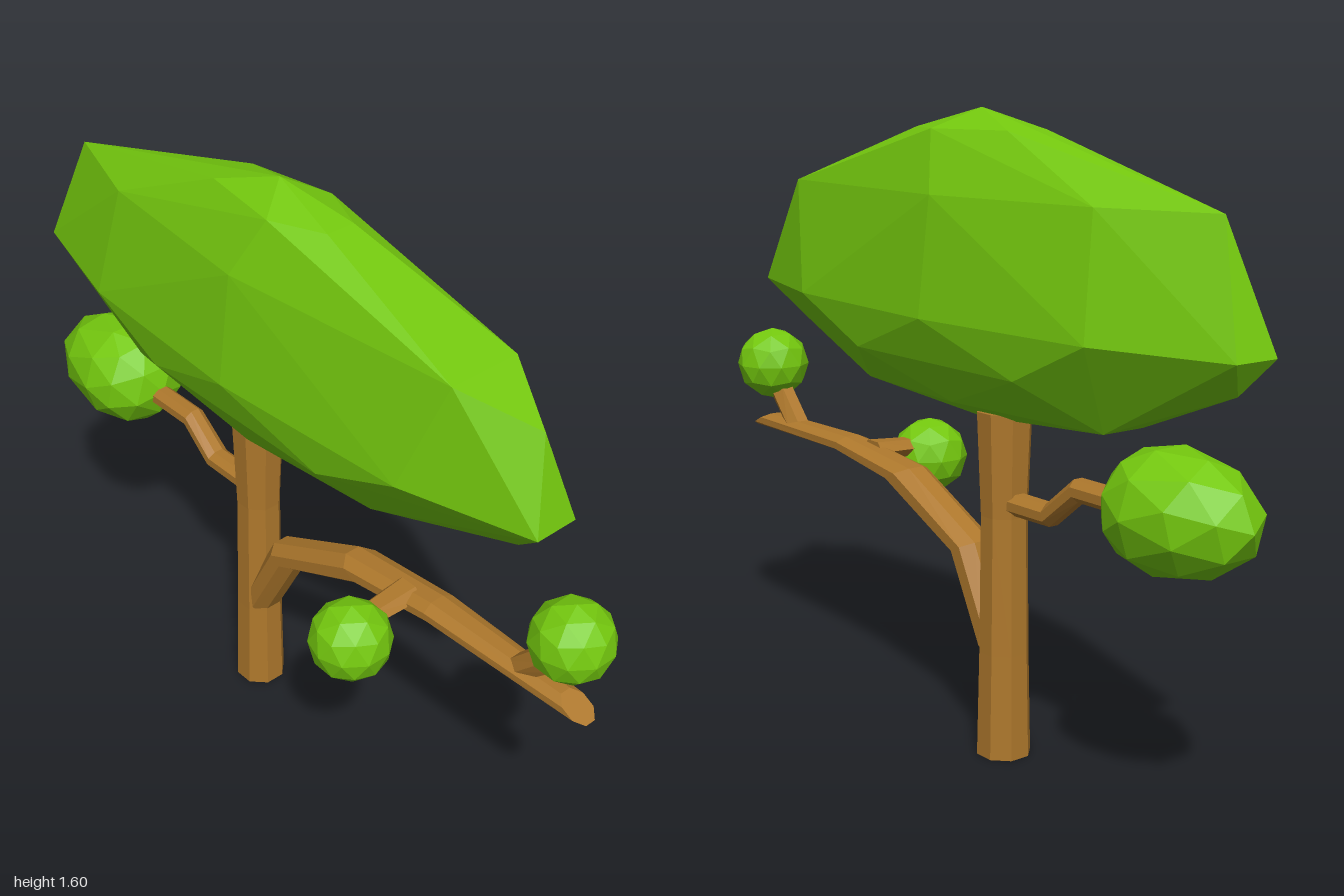
import * as THREE from 'three';
import { ConvexGeometry } from 'three/addons/geometries/ConvexGeometry.js';

const Z = -0.057; // depth plane the tree grows in
const leaf = new THREE.MeshStandardMaterial({ color: 0x74c80e, flatShading: true });
const bark = new THREE.MeshStandardMaterial({ color: 0xae782c, flatShading: true });

// Faceted limb from stations [topX, topY, bottomX, bottomY, z, halfWidth]
function limb(stations, sides = 8) {
  const up = new THREE.Vector3(0, 1, 0);
  const ends = stations.map(([tx, ty, bx, by, z]) => new THREE.Vector3((tx + bx) / 2, (ty + by) / 2, z));
  const side = ends[ends.length - 1].clone().sub(ends[0]).cross(up).normalize();
  const pos = [], idx = [], n = stations.length;
  stations.forEach(([tx, ty, bx, by, , w], i) => {
    for (let j = 0; j < sides; j++) {
      const a = ((j + 0.5) / sides) * Math.PI * 2, k = 1 / Math.cos(Math.PI / sides);
      const c = Math.cos(a) * k, s = Math.sin(a) * k * w;
      const p = ends[i].clone().addScaledVector(side, s);
      pos.push(p.x + c * (tx - bx) / 2, p.y + c * (ty - by) / 2, p.z);
    }
  });
  for (let j = 0; j < sides; j++) {
    const q = (j + 1) % sides;
    for (let i = 0; i < n - 1; i++) {
      const a = i * sides + j, b = i * sides + q;
      idx.push(a, b, b + sides, a, b + sides, a + sides);
    }
    // end caps
    idx.push(n * sides, q, j, n * sides + 1, (n - 1) * sides + j, (n - 1) * sides + q);
  }
  pos.push(...ends[0].toArray(), ...ends[n - 1].toArray());
  const g = new THREE.BufferGeometry();
  g.setAttribute('position', new THREE.Float32BufferAttribute(pos, 3));
  g.setIndex(idx);
  g.computeVertexNormals();
  return g;
}

// Faceted foliage ball, with one vertex turned straight up
function ball(r) {
  return new THREE.IcosahedronGeometry(r, 1).rotateZ(-0.5536);
}

export function createModel() {
  const tree = new THREE.Group();
  tree.name = 'tree';
  const add = (name, geometry, material, x = 0, y = 0, z = 0) => {
    const mesh = new THREE.Mesh(geometry, material);
    mesh.name = name;
    mesh.position.set(x, y, z);
    tree.add(mesh);
    return mesh;
  };

  // Trunk, slightly waisted
  const profile = [[0, 0], [0.07, 0], [0.064, 0.27], [0.06, 0.62], [0.07, 0.88], [0, 0.88]];
  add('trunk', new THREE.LatheGeometry(profile.map(p => new THREE.Vector2(...p)), 8, Math.PI / 8), bark, -0.18, 0, Z);

  // Branches
  add('mainBranch', limb([
    [-0.16, 0.39, -0.14, 0.24, Z, 0.055],
    [-0.09, 0.53, -0.01, 0.49, Z, 0.055],
    [0.19, 0.667, 0.28, 0.62, Z, 0.055],
    [0.49, 0.70, 0.51, 0.655, Z, 0.05],
    [0.9, 0.697, 0.98, 0.655, Z, 0.036],
  ]), bark);
  add('leftTwig', limb([
    [0.73, 0.68, 0.81, 0.68, Z, 0.03],
    [0.83, 0.79, 0.88, 0.75, Z, 0.028],
  ], 6), bark);
  add('frontTwig', limb([
    [0.4, 0.7, 0.4, 0.65, -0.05, 0.04],
    [0.4, 0.69, 0.4, 0.645, 0.09, 0.03],
  ], 6), bark);
  add('rightBranch', limb([
    [-0.2, 0.682, -0.2, 0.628, Z, 0.032],
    [-0.35, 0.682, -0.365, 0.63, Z, 0.032],
    [-0.45, 0.763, -0.465, 0.71, Z, 0.03],
    [-0.66, 0.763, -0.66, 0.71, Z, 0.03],
  ]), bark);

  // Crown: convex shell from [x, y, half depth], mirrored front to back
  const shell = [];
  [
    [-0.09, 1.6, 0], [0.12, 1.55, 0.04], [-0.02, 1.55, 0.1], [-0.26, 1.55, 0.06],
    [0.58, 1.4, 0.1], [-0.09, 1.4, 0.158], [-0.6, 1.4, 0.1], [-0.89, 1.4, 0], [0.76, 1.335, 0],
    [0.82, 1.11, 0.06], [0.48, 1.11, 0.157], [-0.09, 1.11, 0.192], [-0.64, 1.11, 0.157], [-0.99, 1.11, 0.06],
    [0.72, 1.01, 0], [0.22, 1.0, 0.157], [-0.4, 1.0, 0.157], [-0.94, 1.03, 0],
    [0.31, 0.9, 0.06], [-0.1, 0.9, 0.1], [-0.6, 0.9, 0.06], [-0.1, 0.85, 0],
  ].forEach(([x, y, d]) => {
    shell.push(new THREE.Vector3(x, y, d));
    if (d) shell.push(new THREE.Vector3(x, y, -d));
  });
  add('crown', new ConvexGeometry(shell), leaf, 0, 0, Z);

  // Small foliage balls
  add('frontLeafBall', ball(0.105), leaf, 0.405, 0.633, 0.145);
  add('leftLeafBall', ball(0.103), leaf, 0.897, 0.848, -0.06);

  // Teardrop foliage: a ball drawn out to a point at its outer end
  const drop = new THREE.IcosahedronGeometry(1, 1).rotateZ(1.0172);
  const p = drop.attributes.position;
  for (let i = 0; i < p.count; i++) {
    const x = p.getX(i);
    p.setXYZ(i, x * (x < 0 ? 0.25 : 0.16), p.getY(i) * 0.148, p.getZ(i) * 0.152);
  }
  drop.computeVertexNormals();
  add('rightLeafBall', drop, leaf, -0.75, 0.75, Z);

  return tree;
}
